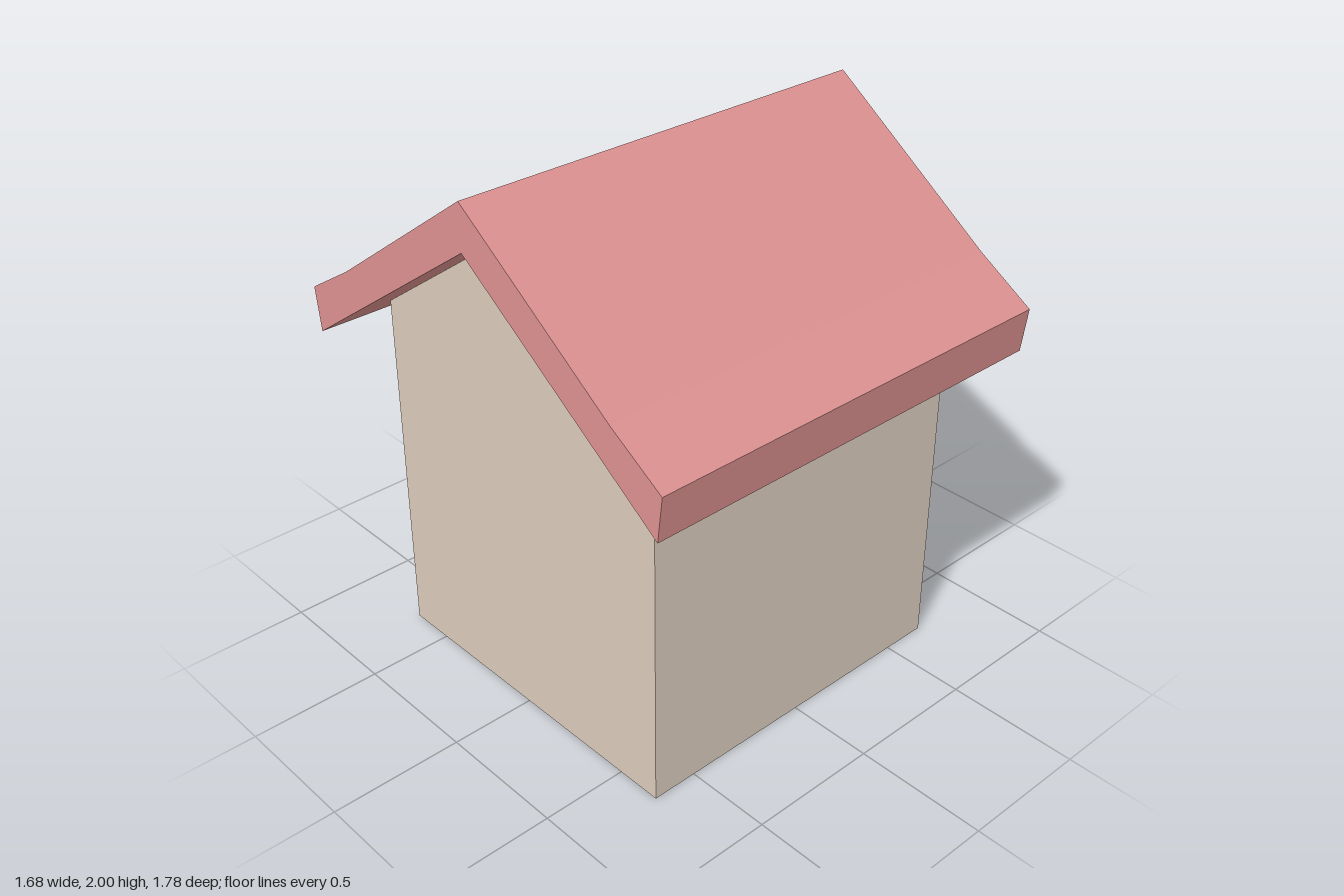
import * as THREE from 'three';

const HALF = 0.675;   // half width of the square house
const EAVE = 1.36;    // height where the walls meet the roof
const PEAK = 1.83;    // underside of the ridge
const ROOF_HALF = 0.84;

export function createModel() {
  const wallMat = new THREE.MeshStandardMaterial({ color: 0xdbccbc, side: THREE.DoubleSide });
  wallMat.name = 'wall beige';
  const roofMat = new THREE.MeshStandardMaterial({ color: 0xdc9190, flatShading: true });
  roofMat.name = 'roof pink';

  const group = new THREE.Group();
  group.name = 'house';
  const add = (name, geometry, material) => {
    const mesh = new THREE.Mesh(geometry, material);
    mesh.name = name;
    group.add(mesh);
    return mesh;
  };
  const polygon = (points) => points.map(([x, y]) => new THREE.Vector2(x, y));

  // Gable walls on both sides; the left one has two open windows
  for (const side of [1, -1]) {
    const gable = new THREE.Shape(polygon([
      [-HALF, 0], [HALF, 0], [HALF, EAVE], [0, PEAK], [-HALF, EAVE],
    ]));
    if (side === 1) {
      for (const z of [-0.58, 0.09]) {
        gable.holes.push(new THREE.Path(polygon([
          [z, 1.02], [z, 1.33], [z + 0.49, 1.33], [z + 0.49, 1.02],
        ])));
      }
    }
    const geometry = new THREE.ShapeGeometry(gable);
    geometry.rotateY(side * Math.PI / 2).translate(side * HALF, 0, 0);
    add(side === 1 ? 'leftGableWall' : 'rightGableWall', geometry, wallMat);
  }

  // Front and back walls
  for (const side of [1, -1]) {
    const geometry = new THREE.PlaneGeometry(2 * HALF, EAVE);
    if (side === -1) geometry.rotateY(Math.PI);
    geometry.translate(0, EAVE / 2, side * HALF);
    add(side === 1 ? 'frontWall' : 'backWall', geometry, wallMat);
  }

  // Floor
  add('floor', new THREE.PlaneGeometry(2 * HALF, 2 * HALF).rotateX(Math.PI / 2), wallMat);

  // Roof: a thick chevron with slightly flared eaves, running along x
  const roofShape = new THREE.Shape(polygon([
    [0, 2], [-0.67, 1.526], [-0.89, 1.39], [-0.87, 1.223],
    [0, PEAK], [0.87, 1.223], [0.89, 1.39], [0.67, 1.526],
  ]));
  const roof = new THREE.ExtrudeGeometry(roofShape, { depth: 2 * ROOF_HALF, bevelEnabled: false });
  roof.translate(0, 0, -ROOF_HALF).rotateY(Math.PI / 2);
  add('roof', roof, roofMat);

  return group;
}
